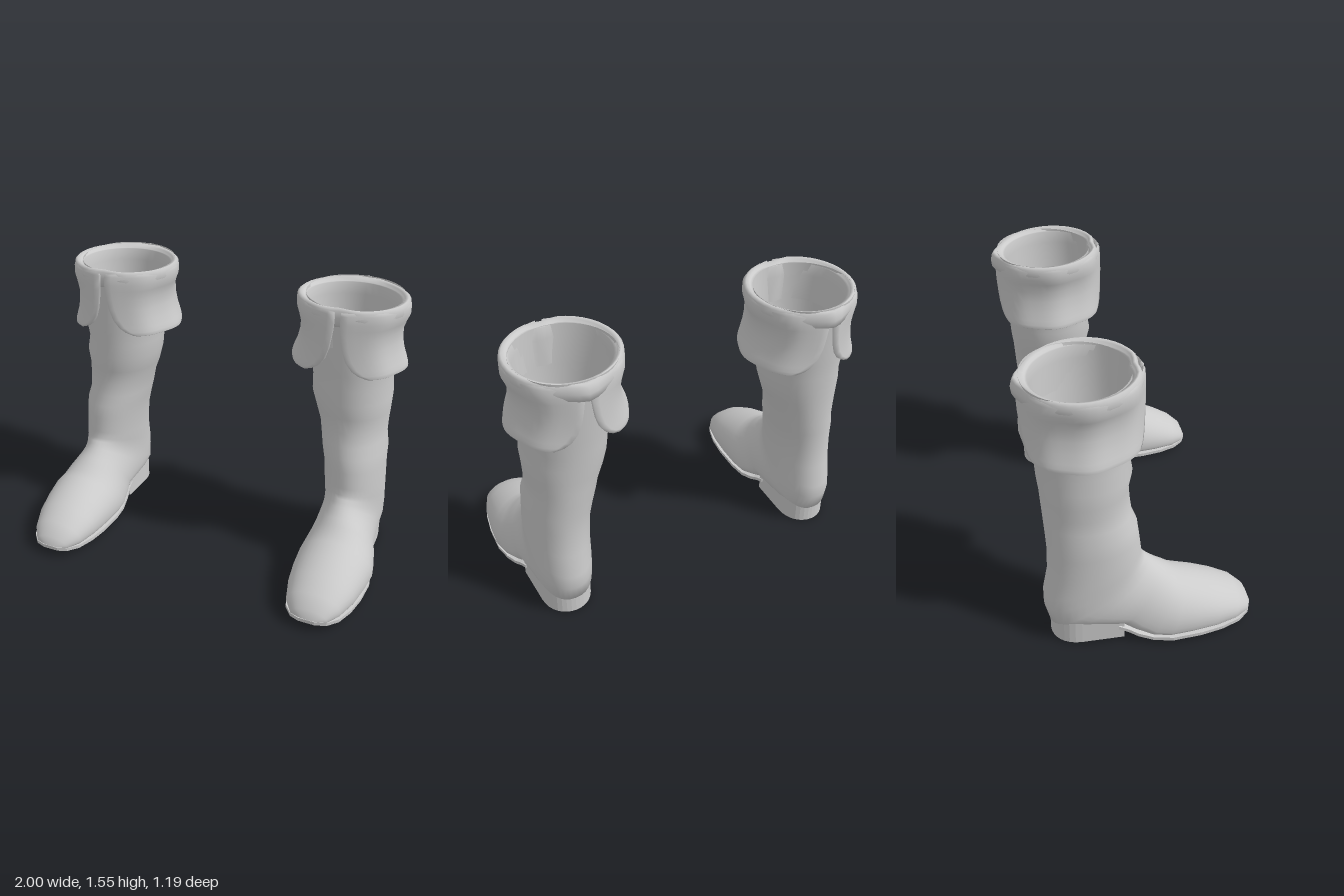
import * as THREE from 'three';

const N = 40;
const material = new THREE.MeshStandardMaterial({ color: 0xcccccc, side: THREE.DoubleSide });

// Skin a list of closed rings (equal point counts) with quads
function loft(rings, flat = false) {
  const n = rings[0].length, index = [];
  for (let i = 0; i < rings.length - 1; i++) {
    for (let j = 0; j < n; j++) {
      const a = i * n + j, b = i * n + (j + 1) % n;
      index.push(a, b, a + n, b, b + n, a + n);
    }
  }
  let geo = new THREE.BufferGeometry();
  geo.setAttribute('position', new THREE.Float32BufferAttribute(rings.flat(2), 3));
  geo.setIndex(index);
  if (flat) geo = geo.toNonIndexed();
  geo.computeVertexNormals();
  return geo;
}

// Copy a geometry across x = 0, keeping its faces outward
function mirrored(source) {
  const geo = source.clone().scale(-1, 1, 1);
  const count = geo.index ? geo.index.count : geo.attributes.position.count;
  const index = [];
  for (let i = 0; i < count; i += 3) {
    for (const k of [i, i + 2, i + 1]) index.push(geo.index ? geo.index.getX(k) : k);
  }
  return geo.setIndex(index);
}

const spow = (v, e) => Math.sign(v) * Math.pow(Math.abs(v), e);

// Foot and shaft: section planes swing from upright at the toe to level at the shaft.
// Each row: front z, front y, back z, back y, inner x, outer x
const footRows = [
  [0.604, 0.06, 0.60, 0.05, 0.74, 0.82],
  [0.585, 0.115, 0.575, 0.045, 0.68, 0.88],
  [0.52, 0.175, 0.50, 0.04, 0.63, 0.93],
  [0.42, 0.23, 0.38, 0.035, 0.60, 0.97],
  [0.32, 0.275, 0.25, 0.03, 0.585, 0.99],
  [0.23, 0.31, 0.12, 0.025, 0.58, 1.0],
  [0.185, 0.33, 0.03, 0.03, 0.585, 0.985],
  [0.15, 0.36, -0.06, 0.06, 0.60, 0.965],
  [0.11, 0.385, -0.12, 0.085, 0.61, 0.945],
  [0.085, 0.405, -0.25, 0.08, 0.61, 0.935],
  [0.06, 0.425, -0.38, 0.08, 0.61, 0.93],
  [0.045, 0.44, -0.475, 0.10, 0.61, 0.93],
  [0.03, 0.455, -0.50, 0.20, 0.61, 0.93],
  [0.015, 0.47, -0.50, 0.28, 0.605, 0.93],
];
const shaftRows = [
  [0.01, 0.51, -0.475, 0.41, 0.60, 0.93],
  [0, 0.60, -0.47, 0.56, 0.59, 0.925],
  [-0.01, 0.68, -0.475, 0.66, 0.57, 0.925],
  [-0.035, 0.74, -0.48, 0.74, 0.555, 0.91],
  [-0.045, 0.82, -0.485, 0.82, 0.54, 0.91],
  [-0.05, 0.90, -0.49, 0.90, 0.51, 0.915],
  [-0.03, 0.99, -0.50, 0.99, 0.485, 0.92],
  [-0.045, 1.07, -0.505, 1.07, 0.48, 0.91],
  [-0.03, 1.16, -0.515, 1.16, 0.47, 0.92],
  [-0.035, 1.30, -0.53, 1.30, 0.45, 0.92],
  [-0.03, 1.53, -0.55, 1.53, 0.41, 0.93],
];

function section([fz, fy, bz, by, x0, x1], low, square) {
  const ring = [];
  for (let j = 0; j < N; j++) {
    const a = j / N * Math.PI * 2, c = Math.cos(a);
    const e = c < 0 ? square : 1;
    const t = low + spow(c, e) * (c < 0 ? low : 1 - low);
    const x = (x0 + x1) / 2 + spow(Math.sin(a), e) * (x1 - x0) / 2;
    ring.push([x, by + (fy - by) * t, bz + (fz - bz) * t]);
  }
  return ring;
}

function bodyGeometry() {
  const rows = footRows.map((r, i) => {
    const blend = Math.max(0, (i - 6) / 7);
    return section(r, 0.3 + 0.2 * blend, 0.6 + 0.35 * blend);
  });
  rows.unshift(rows[0].map(() => [0.78, 0.055, 0.604]));
  return loft([...rows, ...shaftRows.map((r) => section(r, 0.5, 0.95))]);
}

// Thin sole following the arch; each row: z, inner x, outer x, underside y
function soleGeometry() {
  const rows = [
    [0.605, 0.73, 0.82, 0.045], [0.58, 0.68, 0.88, 0.04], [0.52, 0.635, 0.93, 0.035],
    [0.42, 0.605, 0.965, 0.03], [0.3, 0.59, 0.985, 0.025], [0.15, 0.59, 0.99, 0.018],
    [0.05, 0.60, 0.97, 0.018], [-0.03, 0.615, 0.95, 0.04], [-0.08, 0.625, 0.935, 0.065],
    [-0.13, 0.63, 0.925, 0.085],
  ];
  const rings = rows.map(([z, a, b, y]) =>
    [[a, y + 0.02, z], [b, y + 0.02, z], [b, y, z], [a, y, z]]);
  const cap = (r) => r.map(() => [(r[0][0] + r[1][0]) / 2, r[2][1] + 0.01, r[0][2]]);
  return loft([cap(rings[0]), ...rings, cap(rings[rings.length - 1])], true);
}

// Heel block with a straight breast and a rounded back
function heelGeometry() {
  const s = new THREE.Shape();
  s.moveTo(0.635, -0.10);
  s.lineTo(0.635, -0.32);
  s.bezierCurveTo(0.64, -0.52, 0.90, -0.52, 0.91, -0.32);
  s.lineTo(0.92, -0.10);
  const geo = new THREE.ExtrudeGeometry(s, { depth: 0.14, bevelEnabled: false, curveSegments: 16 });
  geo.rotateX(Math.PI / 2).translate(0, 0.145, 0);
  const p = geo.attributes.position;
  for (let i = 0; i < p.count; i++) {
    // underside drops slightly toward the back
    if (p.getY(i) < 0.07) p.setY(i, Math.max(0, 0.02 + (p.getZ(i) + 0.10) * 0.054));
  }
  geo.computeVertexNormals();
  return geo;
}

// Point on the slightly tilted oval around the shaft top (a = 0 is the front)
function oval(a, y, rx, rz) {
  return [0.668 + rx * Math.sin(a), y + 0.012 * Math.cos(a), -0.265 + rz * Math.cos(a)];
}

// Rolled rim: outside, over the top and down into the lining
function rimGeometry() {
  const profile = [
    [1.43, 0.255, 0.265], [1.45, 0.283, 0.288], [1.49, 0.296, 0.293], [1.525, 0.294, 0.285],
    [1.537, 0.28, 0.272], [1.53, 0.262, 0.26], [1.515, 0.258, 0.255], [1.515, 0.245, 0.245],
    [1.45, 0.24, 0.24], [1.30, 0.225, 0.24],
  ];
  return loft(profile.map(([y, rx, rz], row) => Array.from({ length: N }, (_, j) => {
    const a = j / N * Math.PI * 2;
    const back = Math.exp(-(((a - Math.PI) / 0.25) ** 2));
    const front = Math.exp(-((Math.sin(a / 2) * 2 / 0.2) ** 2));
    return oval(a, y, rx, rz + (row > 0 && row < 5 ? 0.03 * back : 0) - 0.02 * front);
  })));
}

// Turned-down flap covering one side; it narrows into rounded lower corners.
// Each row: y, x radius, z radius, opening angle, thickness
function flapGeometry(start) {
  const rows = [
    [1.168, 0.307, 0.297, 0.62, 0], [1.172, 0.312, 0.302, 0.56, 0.018],
    [1.19, 0.308, 0.302, 0.42, 0.022], [1.215, 0.30, 0.30, 0.31, 0.022],
    [1.26, 0.283, 0.298, 0.21, 0.022], [1.32, 0.27, 0.298, 0.14, 0.022],
    [1.38, 0.268, 0.298, 0.10, 0.022], [1.43, 0.283, 0.297, 0.07, 0.022],
    [1.465, 0.297, 0.296, 0.06, 0.022], [1.51, 0.297, 0.293, 0.06, 0.022],
    [1.525, 0.288, 0.283, 0.06, 0],
  ];
  const M = 24;
  return loft(rows.map(([y, rx, rz, gap, th]) => {
    const outer = [], inner = [];
    for (let j = 0; j <= M; j++) {
      const a = start + gap + (Math.PI - 2 * gap) * j / M;
      // gentle folds in the cloth
      const fold = 0.004 * Math.cos(a * 8);
      outer.push(oval(a, y, rx + fold, rz + fold));
      inner.unshift(oval(a, y, rx + fold - th, rz + fold - th));
    }
    return [...outer, ...inner];
  }));
}

export function createModel() {
  const model = new THREE.Group();
  model.name = 'boots';
  const parts = {
    footAndShaft: bodyGeometry(),
    sole: soleGeometry(),
    heel: heelGeometry(),
    cuffRim: rimGeometry(),
    outerCuffFlap: flapGeometry(0),
    innerCuffFlap: flapGeometry(Math.PI),
  };
  for (const side of ['left', 'right']) {
    const boot = new THREE.Group();
    boot.name = side + 'Boot';
    for (const [name, geo] of Object.entries(parts)) {
      const mesh = new THREE.Mesh(side === 'left' ? geo : mirrored(geo), material);
      mesh.name = name;
      boot.add(mesh);
    }
    model.add(boot);
  }
  return model;
}
